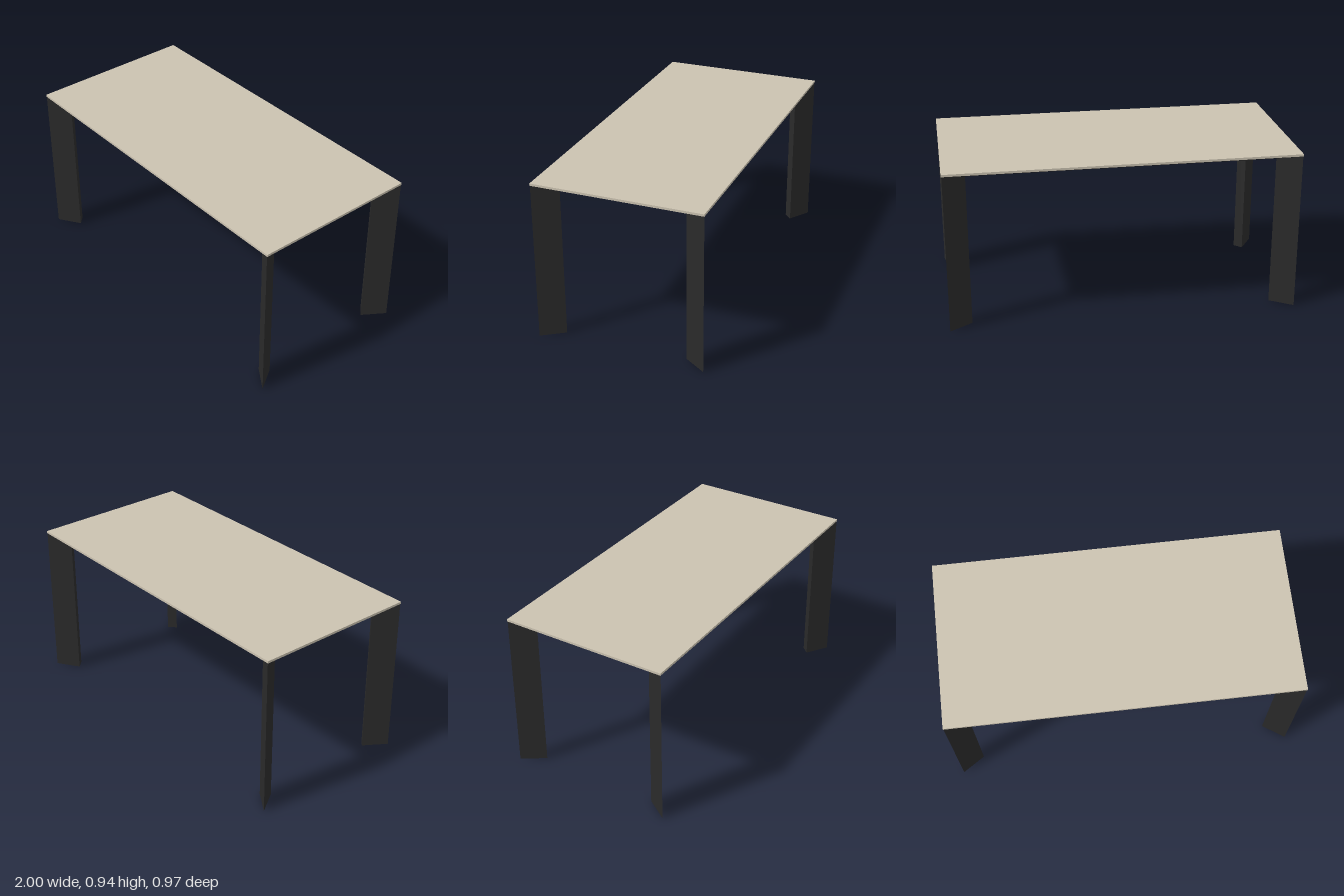
import * as THREE from 'three';

const HALF_X = 0.997, HALF_Z = 0.485; // outer corner of legs and frame
const UNDER = 0.925, TOP = 0.938;      // underside and top of the slab

// Flat-shaded ring: a profile of [inset, y] points swept round the rectangle with mitred corners
function mitredFrame(profile) {
  const corners = [[1, 1], [1, -1], [-1, -1], [-1, 1]];
  const point = (c, [inset, y]) => [c[0] * (HALF_X - inset), y, c[1] * (HALF_Z - inset)];
  const positions = [];
  corners.forEach((c, k) => {
    const next = corners[(k + 1) % 4];
    for (let i = 0; i < profile.length - 1; i++) {
      const a = point(c, profile[i]), a2 = point(c, profile[i + 1]);
      const b = point(next, profile[i]), b2 = point(next, profile[i + 1]);
      positions.push(...a, ...a2, ...b2, ...a, ...b2, ...b);
    }
  });
  const geometry = new THREE.BufferGeometry();
  geometry.setAttribute('position', new THREE.Float32BufferAttribute(positions, 3));
  geometry.computeVertexNormals();
  return geometry;
}

// Wedge leg: sharp edge at the table corner, widening towards the inside
function wedgeLeg(sx, sz) {
  const section = [[0, 0], [0.085, 0.128], [0.128, 0.085]];
  const shape = new THREE.Shape(section.map(([dx, dz]) =>
    new THREE.Vector2(sx * (HALF_X - dx), -sz * (HALF_Z - dz))));
  const geometry = new THREE.ExtrudeGeometry(shape, { depth: UNDER, bevelEnabled: false });
  return geometry.rotateX(-Math.PI / 2);
}

export function createModel() {
  const model = new THREE.Group();
  model.name = 'diningTable';
  const beige = new THREE.MeshStandardMaterial({ color: 0xcbc2b0 });
  beige.name = 'beigeTop';
  const black = new THREE.MeshStandardMaterial({ color: 0x2a2a2a });
  black.name = 'blackFrame';

  const add = (name, geometry, material) => {
    const mesh = new THREE.Mesh(geometry, material);
    mesh.name = name;
    model.add(mesh);
    return mesh;
  };

  // Thin slab
  add('tableTop', new THREE.BoxGeometry(2, TOP - UNDER, 0.972), beige)
    .position.y = (TOP + UNDER) / 2;

  // Apron with a bevelled outer face
  add('apron', mitredFrame([[0, UNDER], [0.085, 0.89], [0.128, 0.89], [0.128, UNDER]]), black);

  // Legs
  for (const sx of [-1, 1]) {
    for (const sz of [-1, 1]) {
      add(`${sz > 0 ? 'front' : 'back'}${sx > 0 ? 'Left' : 'Right'}Leg`, wedgeLeg(sx, sz), black);
    }
  }

  // Cross beams under the slab
  for (const x of [-0.29, 0.29]) {
    add('crossBeam', new THREE.BoxGeometry(0.04, 0.02, 0.73), black).position.set(x, UNDER - 0.01, 0);
  }
  return model;
}
